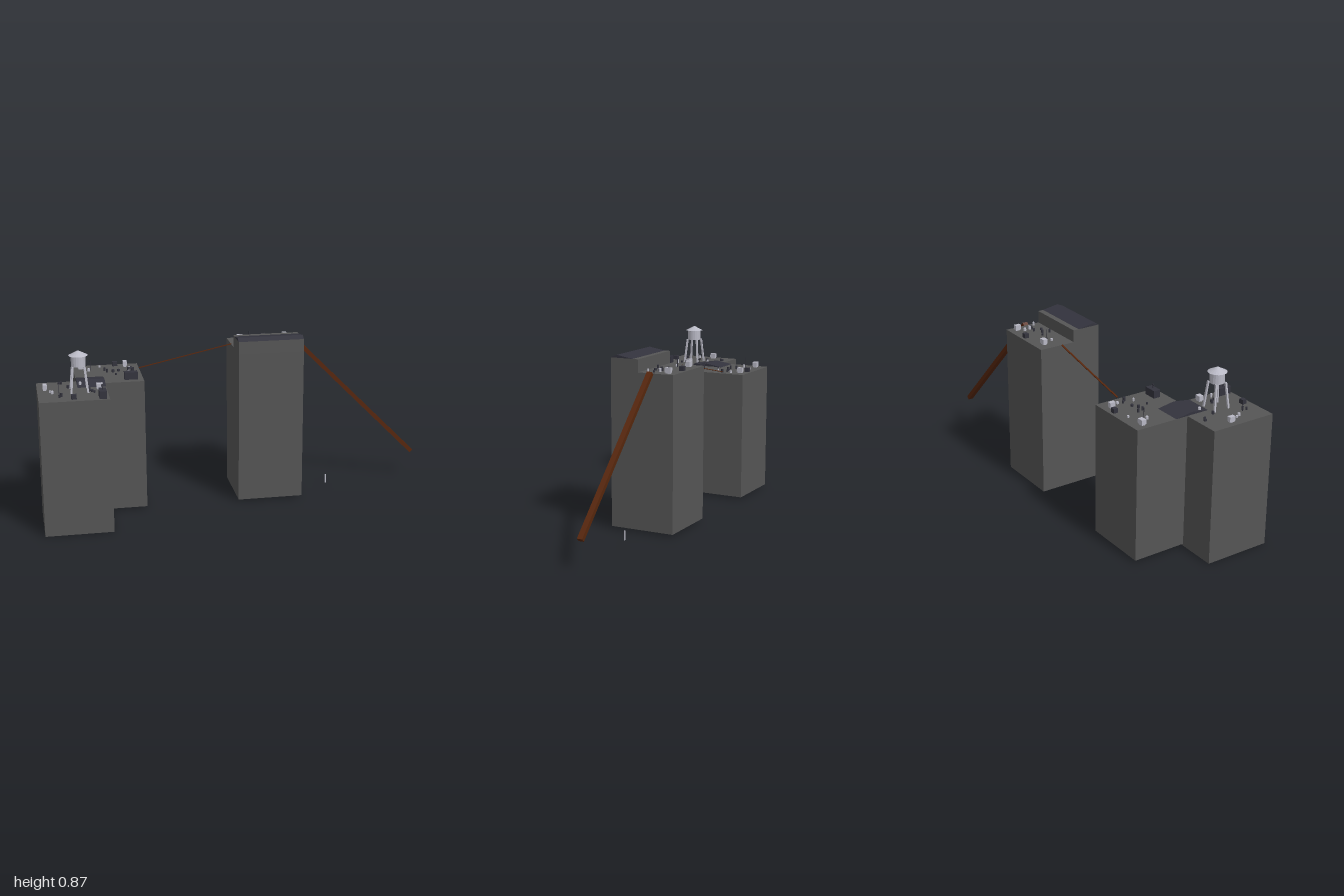
import * as THREE from 'three';

const mat = (name, color) => {
  const m = new THREE.MeshStandardMaterial({ color, flatShading: true });
  m.name = name;
  return m;
};

export function createModel() {
  const concrete = mat('concrete', 0x555555);
  const slate = mat('slate', 0x33333d);
  const metal = mat('paleMetal', 0xb8b8c4);
  const wood = mat('brownWood', 0x57260c);
  const model = new THREE.Group();
  model.name = 'rooftops';

  const add = (name, geo, material, x = 0, y = 0, z = 0, parent = model) => {
    const m = new THREE.Mesh(geo, material);
    m.name = name;
    m.position.set(x, y, z);
    parent.add(m);
    return m;
  };
  // box given by its lower and upper corner
  const block = (name, material, x0, x1, y0, y1, z0, z1, parent) =>
    add(name, new THREE.BoxGeometry(x1 - x0, y1 - y0, z1 - z0), material,
      (x0 + x1) / 2, (y0 + y1) / 2, (z0 + z1) / 2, parent);
  // box standing on a roof, given by its base centre
  const stand = (name, material, x, y, z, w, h, d, parent) =>
    add(name, new THREE.BoxGeometry(w, h, d), material, x, y + h / 2, z, parent);
  // triangular roof running along x; points are [z, y]
  const ridgeRoof = (name, x0, x1, pts) => {
    const shape = new THREE.Shape(pts.map(([z, y]) => new THREE.Vector2(-z, y)));
    const geo = new THREE.ExtrudeGeometry(shape, { depth: x1 - x0, bevelEnabled: false });
    geo.rotateY(Math.PI / 2);
    return add(name, geo, slate, x0, 0, 0);
  };
  // square beam between two points
  const beam = (name, material, a, b, w, t, parent = model) => {
    const p = new THREE.Vector3(...a), q = new THREE.Vector3(...b);
    const m = add(name, new THREE.BoxGeometry(t, p.distanceTo(q), w), material, 0, 0, 0, parent);
    m.position.copy(p).lerp(q, 0.5);
    m.quaternion.setFromUnitVectors(new THREE.Vector3(0, 1, 0), q.sub(p).normalize());
    return m;
  };

  // Three buildings
  const low = 0.673, high = 0.785;
  block('frontBuilding', concrete, -1, -0.667, 0, low, -0.03, 0.305);
  block('middleBuilding', concrete, -0.805, -0.473, 0.01, low, -0.305, 0.03);
  block('tallBuilding', concrete, 0, 0.333, 0.01, high, -0.305, 0.03);
  block('penthouse', concrete, 0, 0.333, high, 0.847, -0.117, 0.03);
  ridgeRoof('penthouseRoof', 0, 0.333, [[0.03, 0.847], [-0.003, 0.861], [-0.088, 0.847]]);
  ridgeRoof('connectingRoof', -0.805, -0.667, [[0.088, low], [-0.003, low + 0.014], [-0.092, low]]);

  // Water tower
  const tower = new THREE.Group();
  tower.name = 'waterTower';
  tower.position.set(-0.8, 0, 0.138);
  model.add(tower);
  add('tank', new THREE.CylinderGeometry(0.035, 0.035, 0.052, 18), metal, 0, 0.824, 0, tower);
  add('tankRoof', new THREE.CylinderGeometry(0.004, 0.046, 0.022, 18), metal, 0, 0.861, 0, tower);
  for (const sx of [-1, 1]) for (const sz of [-1, 1])
    beam('towerLeg', metal, [sx * 0.04, low, sz * 0.04], [sx * 0.028, 0.8, sz * 0.028], 0.009, 0.009, tower);

  // Dark hut with a small dish on a mast
  const hut = (x, z, w, d) => {
    const g = new THREE.Group();
    g.name = 'serviceHut';
    g.position.set(x, low, z);
    model.add(g);
    stand('hut', slate, 0, 0, 0, w, 0.037, d, g);
    stand('dishMast', slate, 0, 0.037, 0, 0.003, 0.018, 0.003, g);
    const dish = add('dish', new THREE.CylinderGeometry(0.008, 0.004, 0.004, 10), slate, 0, 0.056, 0, g);
    dish.rotation.set(0.8, 0, 0.4);
  };
  hut(-0.698, 0.26, 0.035, 0.066);
  hut(-0.534, -0.024, 0.066, 0.035);

  // Pale air units on legs: [x, roof, z, width, depth]
  for (const [x, y, z, w, d] of [
    [-0.701, low, 0.12, 0.03, 0.024], [-0.962, low, 0.095, 0.02, 0.03],
    [-0.765, low, -0.252, 0.032, 0.024], [-0.54, low, -0.26, 0.02, 0.03],
    [0.06, high, -0.252, 0.032, 0.024], [0.298, high, -0.262, 0.02, 0.03]]) {
    const g = new THREE.Group();
    g.name = 'airUnit';
    g.position.set(x, y, z);
    model.add(g);
    stand('unitBody', metal, 0, 0.006, 0, w, 0.022, d, g);
    stand('unitBase', metal, 0, 0, 0, w * 0.8, 0.006, d * 0.8, g);
  }

  // Dark cubes near the roof edges
  for (const [x, y, z] of [[-0.834, low, 0.268], [-0.59, low, -0.28], [0.187, high, -0.28]])
    stand('ventBox', slate, x, y, z, 0.025, 0.022, 0.022);

  // Thin aerials
  for (const [x, y, z] of [[-0.9, low, 0.212], [-0.72, low, -0.21], [0.1, high, -0.21]])
    stand('aerial', slate, x, y, z, 0.0025, 0.055, 0.0025);

  // Scattered small vents: [x, z, pale]
  const vents = (y, list) => list.forEach(([x, z, pale], i) => {
    const r = 0.005 + 0.002 * (i % 2), h = 0.01 + 0.004 * (i % 3);
    add('vent', new THREE.CylinderGeometry(r, r, h, 8), pale ? metal : slate, x, y + h / 2, z);
  });
  vents(low, [[-0.94, 0.145, 1], [-0.93, 0.165, 1], [-0.89, 0.22], [-0.89, 0.005], [-0.88, 0.01],
    [-0.79, 0.05, 1], [-0.73, 0.18], [-0.85, 0.08], [-0.7, 0.19, 1], [-0.74, 0.16], [-0.9, 0.235],
    [-0.755, 0.15]]);
  vents(low, [[-0.67, -0.26, 1], [-0.61, -0.16], [-0.64, -0.16], [-0.58, -0.175], [-0.535, -0.135, 1],
    [-0.51, -0.17], [-0.6, -0.105], [-0.73, -0.2, 1], [-0.65, -0.19], [-0.52, -0.215, 1], [-0.53, -0.19]]);
  vents(high, [[0.165, -0.195], [0.2, -0.175], [0.18, -0.145], [0.235, -0.16], [0.265, -0.195],
    [0.275, -0.205, 1], [0.298, -0.185], [0.27, -0.235, 1], [0.31, -0.16, 1], [0.08, -0.195, 1], [0.24, -0.2]]);

  // Sloping beam, narrow plank between roofs, and a lone post
  beam('slopingBeam', wood, [0.342, 0.788, -0.1875], [0.99, 0.14, -0.1875], 0.027, 0.021);
  beam('narrowPlank', wood, [-0.475, 0.682, -0.185], [0.002, 0.784, -0.185], 0.009, 0.003);
  stand('post', metal, 0.505, 0.006, -0.138, 0.007, 0.047, 0.006);

  return model;
}
